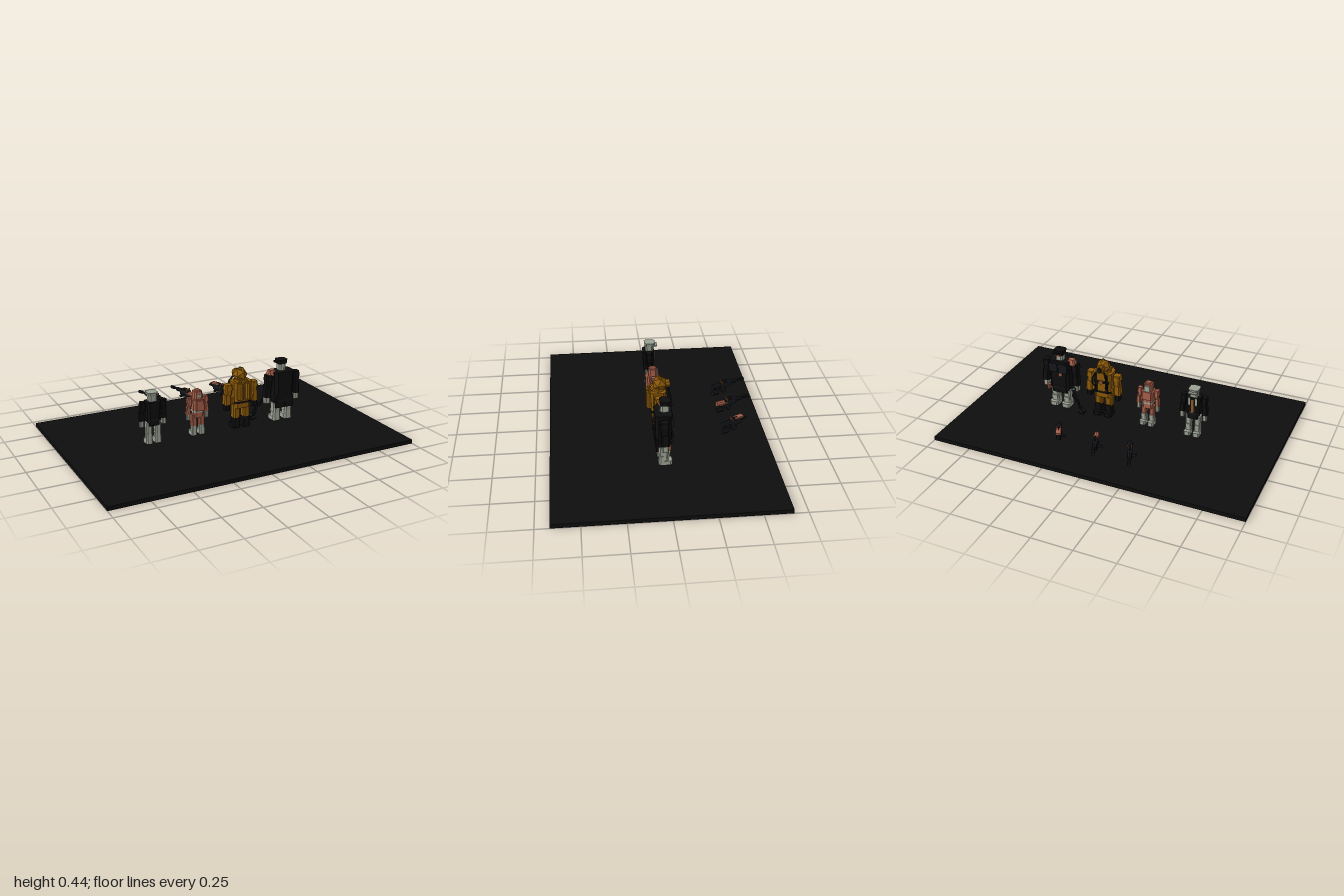
import * as THREE from 'three';

const mat = (name, color, side = THREE.FrontSide) => {
  const m = new THREE.MeshStandardMaterial({ color, flatShading: true, side });
  m.name = name;
  return m;
};

export function createModel() {
  const black = mat('black', 0x0e0e0e), dark = mat('gunmetal', 0x15161a);
  const grey = mat('pale grey', 0x9aa092), salmon = mat('salmon', 0xa55d48);
  const gold = mat('dark gold', 0x8a5808), brown = mat('copper', 0x8f5528);
  const root = new THREE.Group();
  root.name = 'figureSet';

  const group = (parent, name, x = 0, y = 0, z = 0) => {
    const g = new THREE.Group();
    g.name = name;
    g.position.set(x, y, z);
    parent.add(g);
    return g;
  };
  const add = (parent, name, geo, m, x, y, z) => {
    const mesh = new THREE.Mesh(geo, m);
    mesh.name = name;
    mesh.position.set(x, y, z);
    parent.add(mesh);
    return mesh;
  };
  const box = (p, name, m, w, h, d, x, y, z) => add(p, name, new THREE.BoxGeometry(w, h, d), m, x, y, z);
  const rod = (p, name, m, r, h, x, y, z, n = 8, rTop = r) =>
    add(p, name, new THREE.CylinderGeometry(rTop, r, h, n), m, x, y, z);
  const rodZ = (p, name, m, r, h, x, y, z, n = 8) => {
    const c = rod(p, name, m, r, h, x, y, z, n);
    c.rotation.x = Math.PI / 2;
    return c;
  };
  // Block with chamfered upright edges from y0 to y1; the top is scaled by taper
  const block = (p, name, m, w, y0, y1, d, x, z, taper = 1) => {
    const c = Math.min(w, d) * 0.18, a = w / 2, b = d / 2;
    const s = new THREE.Shape([[a, -b + c], [a, b - c], [a - c, b], [c - a, b], [-a, b - c], [-a, c - b],
      [c - a, -b], [a - c, -b]].map(([u, v]) => new THREE.Vector2(u, v)));
    const geo = new THREE.ExtrudeGeometry(s, { depth: y1 - y0, bevelEnabled: false });
    geo.rotateX(-Math.PI / 2);
    const pos = geo.attributes.position;
    for (let i = 0; i < pos.count; i++)
      if (pos.getY(i) > (y1 - y0) / 2) { pos.setX(i, pos.getX(i) * taper); pos.setZ(i, pos.getZ(i) * taper); }
    geo.computeVertexNormals();
    return add(p, name, geo, m, x, y0, z);
  };
  const tube = (p, name, m, pts, r) => add(p, name, new THREE.TubeGeometry(
    new THREE.CatmullRomCurve3(pts.map(q => new THREE.Vector3(...q))), 14, r, 6), m, 0, 0, 0);

  // Floor slab
  box(root, 'floor', black, 2, 0.025, 1.333, 0, 0.0125, 0);

  // Shared body: legs, hips, torso, arms and hands; toes point to -z
  const figure = (name, x, o) => {
    const g = group(root, name, x);
    for (const s of [-1, 1]) {
      const leg = group(g, 'leg', s * o.legX);
      block(leg, 'boot', o.boot, o.legW, 0.036, o.knee, o.legW, 0, 0, 0.9);
      block(leg, 'toe', o.boot, o.legW, 0.036, 0.064, o.legW + 0.02, 0, -0.012);
      block(leg, 'thigh', o.thigh, o.legW * 0.85, o.knee, o.hip, o.legW * 0.95, 0, 0, 1.1);
      box(leg, 'kneePad', o.boot, o.legW * 0.7, 0.022, 0.01, 0, o.knee, -o.legW / 2);
      const arm = group(g, 'arm', s * o.armX);
      const mid = (o.shoulder + o.wrist) / 2;
      block(arm, 'upperArm', o.arm, o.armW * 0.85, mid, o.shoulder, o.armW, 0, 0, 1.1);
      block(arm, 'forearm', o.arm, o.armW, o.wrist, mid, o.armW * 1.1, s * 0.006, -0.004, 0.85);
      block(arm, 'hand', o.hand, o.armW * 0.75, o.wrist - 0.04, o.wrist, o.armW * 0.85, s * 0.007, -0.004);
      block(arm, 'shoulderPad', o.pad ?? o.arm, o.armW * 1.1, o.shoulder - 0.028, o.shoulder + 0.006,
        o.armW * 1.25, 0, 0, 0.8);
    }
    block(g, 'hips', o.hips, o.torsoW * 0.8, o.hip - 0.02, o.hip + 0.02, o.depth * 0.85, 0, 0, 1.05);
    block(g, 'torso', o.torso, o.torsoW * 0.86, o.hip + 0.015, o.neck, o.depth, 0, 0, 1.14);
    block(g, 'belt', o.belt, o.torsoW * 0.9, o.hip + 0.015, o.hip + 0.028, o.depth * 1.05, 0, 0);
    rod(g, 'neck', o.skin, 0.018, 0.03, 0, o.neck + 0.005, 0);
    return g;
  };

  // Slim figure in a dark coat
  const slim = figure('coatFigure', -0.455, {
    legX: 0.029, legW: 0.042, boot: grey, thigh: grey, knee: 0.1, hip: 0.175, armX: 0.066, armW: 0.034,
    shoulder: 0.305, wrist: 0.19, arm: black, hand: grey, hips: black, torso: black, belt: dark,
    torsoW: 0.092, depth: 0.066, neck: 0.308, skin: grey });
  block(slim, 'head', grey, 0.05, 0.308, 0.345, 0.05, 0, -0.005, 1.05);
  block(slim, 'cap', grey, 0.054, 0.343, 0.364, 0.06, 0, -0.008, 1.2);
  block(slim, 'capPeak', grey, 0.056, 0.342, 0.348, 0.03, 0, -0.042);
  box(slim, 'visor', dark, 0.034, 0.01, 0.006, 0, 0.333, -0.031);
  box(slim, 'chestStrip', brown, 0.016, 0.09, 0.008, 0, 0.25, -0.036);
  for (const s of [-1, 1]) box(slim, 'lapel', grey, 0.012, 0.05, 0.006, s * 0.022, 0.282, -0.036);

  // Small figure in salmon armour
  const small = figure('salmonFigure', -0.155, {
    legX: 0.027, legW: 0.038, boot: grey, thigh: salmon, knee: 0.1, hip: 0.175, armX: 0.056, armW: 0.029,
    shoulder: 0.28, wrist: 0.18, arm: salmon, hand: grey, hips: salmon, torso: salmon, belt: grey,
    torsoW: 0.08, depth: 0.062, neck: 0.275, skin: grey });
  block(small, 'helmet', salmon, 0.056, 0.272, 0.325, 0.056, 0, 0, 0.92);
  block(small, 'crest', salmon, 0.036, 0.32, 0.333, 0.044, 0, 0, 0.8);
  box(small, 'face', grey, 0.036, 0.038, 0.01, 0, 0.296, -0.028);
  box(small, 'helmetBack', grey, 0.032, 0.014, 0.006, 0, 0.298, 0.027);
  box(small, 'chestPlate', salmon, 0.056, 0.055, 0.014, 0, 0.25, -0.034);
  box(small, 'backPack', salmon, 0.05, 0.065, 0.02, 0, 0.238, 0.037);

  // Heavy gold diver with tanks on the back
  const diver = figure('diverFigure', 0.148, {
    legX: 0.035, legW: 0.052, boot: black, thigh: gold, knee: 0.105, hip: 0.19, armX: 0.09, armW: 0.047,
    shoulder: 0.325, wrist: 0.2, arm: gold, hand: black, hips: gold, torso: gold, belt: black,
    torsoW: 0.13, depth: 0.085, neck: 0.345, skin: gold });
  const helmet = add(diver, 'helmet', new THREE.IcosahedronGeometry(0.05, 0), gold, 0, 0.38, -0.012);
  helmet.rotation.y = 0.3;
  rod(diver, 'helmetTop', gold, 0.028, 0.026, 0, 0.418, -0.01, 6, 0.006);
  rod(diver, 'collar', gold, 0.05, 0.018, 0, 0.348, 0, 8, 0.044);
  rodZ(diver, 'faceRing', gold, 0.026, 0.026, 0, 0.38, -0.06);
  rodZ(diver, 'faceGlass', black, 0.018, 0.008, 0, 0.38, -0.072);
  for (const s of [-1, 1]) {
    rod(diver, 'tank', gold, 0.022, 0.105, s * 0.026, 0.288, 0.049, 10);
    rod(diver, 'tankValve', gold, 0.01, 0.014, s * 0.026, 0.345, 0.049);
    box(diver, 'harnessStrap', black, 0.016, 0.13, 0.006, s * 0.036, 0.275, -0.046);
    tube(diver, 'airHose', dark, [[s * 0.025, 0.36, -0.055], [s * 0.045, 0.32, -0.074],
      [s * 0.045, 0.275, -0.072], [s * 0.03, 0.245, -0.045]], 0.005);
    box(diver, 'sidePouch', gold, 0.02, 0.04, 0.05, s * 0.062, 0.225, 0);
  }
  box(diver, 'harnessBand', black, 0.1, 0.016, 0.008, 0, 0.285, -0.046);
  rodZ(diver, 'chestGauge', brown, 0.014, 0.012, 0, 0.285, -0.051);

  // Large figure with a flat cap and one armoured shoulder
  const large = figure('largeFigure', 0.449, {
    legX: 0.042, legW: 0.058, boot: grey, thigh: grey, knee: 0.095, hip: 0.155, armX: 0.1, armW: 0.046,
    shoulder: 0.345, wrist: 0.2, arm: black, hand: grey, hips: black, torso: black, belt: dark,
    torsoW: 0.148, depth: 0.088, neck: 0.368, skin: grey });
  block(large, 'head', grey, 0.048, 0.37, 0.418, 0.052, 0, -0.012);
  block(large, 'cap', black, 0.062, 0.412, 0.44, 0.058, 0, -0.012, 1.12);
  block(large, 'capPeak', black, 0.074, 0.414, 0.424, 0.03, 0, -0.036);
  box(large, 'eyeBand', brown, 0.032, 0.008, 0.004, 0, 0.401, -0.039);
  block(large, 'armouredShoulder', salmon, 0.066, 0.345, 0.38, 0.056, -0.076, -0.004, 0.6);
  rodZ(large, 'chestBadge', salmon, 0.013, 0.01, -0.015, 0.275, -0.05, 6);
  block(large, 'sideHolster', salmon, 0.016, 0.145, 0.178, 0.026, 0.08, -0.028);
  for (const s of [-1, 1]) {
    box(large, 'coatTail', black, 0.062, 0.08, 0.012, s * 0.034, 0.168, 0.038);
    box(large, 'chestPlate', dark, 0.058, 0.06, 0.012, s * 0.034, 0.32, -0.05);
  }

  // Hanging chain and weight from the large figure's right hand
  const chain = group(root, 'chain');
  const path = new THREE.CatmullRomCurve3([[0.35, 0.185, -0.035], [0.335, 0.15, -0.06],
    [0.305, 0.12, -0.07], [0.285, 0.075, -0.07], [0.262, 0.06, -0.075]].map(q => new THREE.Vector3(...q)));
  for (let i = 0; i < 8; i++) {
    const u = (i + 0.3) / 8, dir = path.getTangentAt(u);
    const link = add(chain, 'chainLink', new THREE.TorusGeometry(0.011, 0.0036, 5, 10), dark, ...path.getPointAt(u));
    link.scale.x = 1.3;
    link.quaternion.setFromUnitVectors(new THREE.Vector3(1, 0, 0), dir);
    link.rotateX(i % 2 ? 1.25 : 0.25);
  }
  add(chain, 'weight', new THREE.OctahedronGeometry(0.022, 0), dark, 0.266, 0.064, -0.07);
  box(chain, 'hook', dark, 0.04, 0.008, 0.03, 0.28, 0.045, -0.068).rotation.z = 0.25;

  // Floating guns pointing to -z
  const gun = (name, x, z, yaw, len, shell, trim) => {
    const g = group(root, name, x, 0, z);
    g.rotation.y = yaw;
    rodZ(g, 'stock', shell, 0.017, 0.07, 0, 0.137, 0.055);
    box(g, 'receiver', dark, 0.03, 0.036, 0.08, 0, 0.138, -0.005);
    rodZ(g, 'barrel', dark, 0.008, len, 0, 0.145, -len / 2 - 0.02);
    rodZ(g, 'muzzle', dark, 0.011, 0.03, 0, 0.145, -len - 0.005);
    rodZ(g, 'barrelSleeve', dark, 0.014, len * 0.45, 0, 0.143, -0.03 - len * 0.22);
    box(g, 'sight', dark, 0.008, 0.012, 0.04, 0, 0.162, 0);
    rodZ(g, 'canister', dark, 0.015, 0.045, 0, 0.089, 0.065);
    box(g, 'magazine', dark, 0.02, 0.05, 0.024, 0, 0.105, 0.01).rotation.x = 0.45;
    box(g, 'lowerFrame', dark, 0.014, 0.014, 0.085, 0, 0.108, 0.025).rotation.x = -0.3;
    for (let i = 0; i < 3; i++) rod(g, 'cartridge', trim, 0.004, 0.016, -0.012 + i * 0.012, 0.16, 0.02);
    box(g, 'sideGrip', dark, 0.045, 0.012, 0.016, -0.02, 0.12, -0.01);
  };
  gun('longGun', -0.235, -0.48, 0.39, 0.13, dark, brown);
  gun('mediumGun', -0.012, -0.475, 0.34, 0.12, salmon, brown);
  gun('shortGun', 0.235, -0.465, 0.45, 0.06, dark, salmon);
  const shortGun = root.children[root.children.length - 1];
  box(shortGun, 'topCover', salmon, 0.032, 0.01, 0.06, 0, 0.162, -0.03);

  return root;
}
